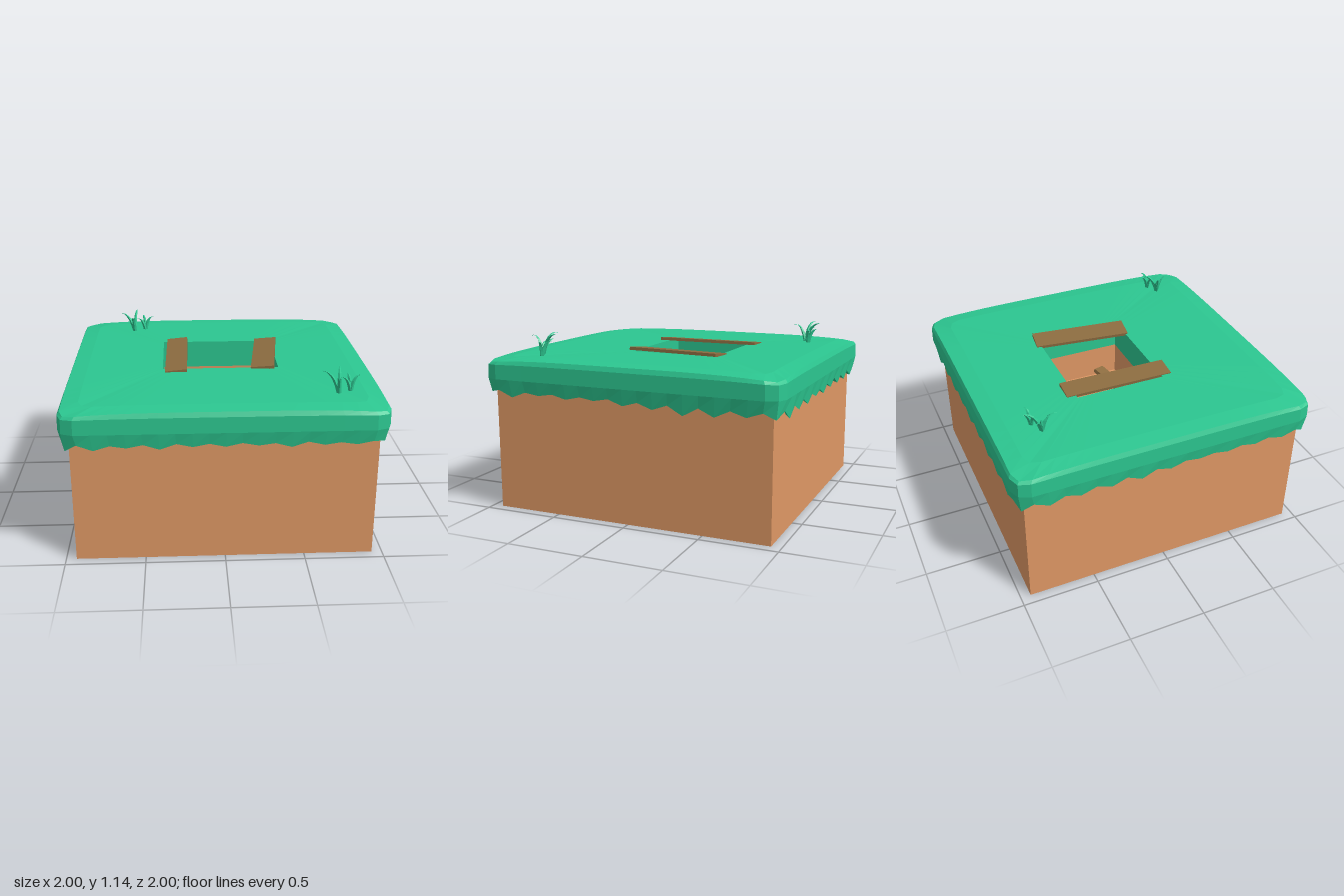
import * as THREE from 'three';

const mat = (color) => new THREE.MeshStandardMaterial({ color, flatShading: true });
const GRASS = mat(0x2cc690), DIRT = mat(0xdf9865), WOOD = mat(0x8c6c40);

function add(parent, name, geometry, material) {
  const mesh = new THREE.Mesh(geometry, material);
  mesh.name = name;
  parent.add(mesh);
  return mesh;
}

// Skin between closed rows of points; rows run anticlockwise seen from above
function loft(rows) {
  const n = rows[0].length, index = [];
  for (let r = 0; r < rows.length - 1; r++) {
    for (let k = 0; k < n; k++) {
      const a = r * n + k, b = r * n + (k + 1) % n;
      index.push(a, b, b + n, a, b + n, a + n);
    }
  }
  const g = new THREE.BufferGeometry();
  g.setAttribute('position', new THREE.Float32BufferAttribute(rows.flat(2), 3));
  g.setIndex(index);
  const flat = g.toNonIndexed();
  flat.computeVertexNormals();
  return flat;
}

// Points round a unit square: front, right, back, left
function squareLoop(steps) {
  const pts = [];
  for (let side = 0; side < 4; side++) {
    for (let i = 0; i < steps; i++) {
      const t = -1 + 2 * i / steps;
      pts.push([[t, 1], [1, -t], [-t, -1], [-1, t]][side]);
    }
  }
  return pts;
}

const square = (loop, s, y) => loop.map(([x, z]) => [x * s, y, z * s]);
const pit = (loop, y, s = 1) => loop.map(([x, z]) => [0.005 + x * 0.385 * s, y, -0.07 + z * 0.3 * s]);

// Earth block with a sunken pit
function dirtGeometry() {
  const loop = squareLoop(1);
  return loft([
    square(loop, 0, 0), square(loop, 0.935, 0), square(loop, 0.935, 0.82),
    pit(loop, 0.82), pit(loop, 0.6), pit(loop, 0.6, 0),
  ]);
}

// Turf cap with soft corners and a ragged lower edge
function turfGeometry() {
  const loop = squareLoop(20);
  let seed = 7;
  const rand = () => (seed = (seed * 16807) % 2147483647) / 2147483647;
  const hem = loop.map(([x, z], i) =>
    i % 2 ? 0.79 + rand() * 0.012 : (z < 0 ? 0.735 : 0.755) + rand() * 0.03);
  const rim = (s, yOf, corner) => loop.map(([x, z], i) => {
    const isCorner = Math.abs(x) > 0.99 && Math.abs(z) > 0.99;
    const k = s * (isCorner ? 0.972 : 1);
    const drop = corner * Math.pow(Math.abs(x * z), 4);
    return [x * k, yOf(i) - drop, z * k];
  });
  return loft([
    rim(0.955, (i) => hem[i] + 0.015, 0),
    rim(0.985, (i) => hem[i], 0),
    rim(1, () => 0.87, 0),
    rim(0.998, () => 0.97, 0.01),
    rim(0.985, () => 1.0, 0.025),
    rim(0.88, () => 1.01, 0.01),
    pit(loop, 1.01), pit(loop, 0.82),
  ]);
}

// Tapered cone bent along an arc from base to tip
function bladeGeometry(base, tip, bend) {
  const curve = new THREE.QuadraticBezierCurve3(
    new THREE.Vector3(...base),
    new THREE.Vector3(base[0] + (tip[0] - base[0]) * 0.3, tip[1] + bend, base[2] + (tip[2] - base[2]) * 0.3),
    new THREE.Vector3(...tip));
  const g = new THREE.ConeGeometry(0.014, 1, 4, 6);
  const p = g.attributes.position;
  for (let i = 0; i < p.count; i++) {
    const t = p.getY(i) + 0.5;
    const c = curve.getPoint(t);
    const fat = 1 + 0.8 * t;
    p.setXYZ(i, c.x + p.getX(i) * fat, c.y + p.getZ(i) * t * 0.5, c.z + p.getZ(i) * fat);
  }
  g.computeVertexNormals();
  return g;
}

function grassTuft() {
  const tuft = new THREE.Group();
  tuft.name = 'grassTuft';
  const a = [0, 1.0, 0], b = [0.08, 1.0, -0.04];
  const blades = [
    [a, [-0.13, 1.135, -0.04], 0.03], [a, [-0.02, 1.12, 0.1], 0.03],
    [a, [0.02, 1.14, -0.13], 0.02], [a, [-0.07, 1.1, -0.06], 0.02],
    [b, [0.01, 1.09, -0.03], 0.02], [b, [0.06, 1.1, -0.11], 0.02],
    [b, [0.15, 1.095, -0.06], 0.03],
  ];
  for (const blade of blades) add(tuft, 'grassBlade', bladeGeometry(...blade), GRASS);
  return tuft;
}

function plank(parent, name, size, position, rotation) {
  const m = add(parent, name, new THREE.BoxGeometry(...size), WOOD);
  m.position.set(...position);
  m.rotation.set(...rotation, 'YXZ');
}

export function createModel() {
  const model = new THREE.Group();
  model.name = 'grassBlockWithPit';
  add(model, 'dirtBlock', dirtGeometry(), DIRT);
  add(model, 'turfCap', turfGeometry(), GRASS);

  // Two planks lying along the pit edges
  plank(model, 'leftEdgePlank', [0.145, 0.02, 0.73], [-0.287, 1.012, -0.065], [0, -0.015, 0.1]);
  plank(model, 'rightEdgePlank', [0.155, 0.02, 0.655], [0.322, 1.015, -0.07], [0, -0.123, 0.1]);

  // Broken pieces inside the pit: size, position, rotation
  const pieces = [
    [[0.16, 0.025, 0.2], [-0.125, 0.7, -0.25], [1.05, 0.03, 0]],
    [[0.16, 0.025, 0.22], [0.05, 0.71, -0.26], [0.95, 0.25, 0.1]],
    [[0.13, 0.025, 0.08], [0.25, 0.68, -0.24], [0.8, 0, 0]],
    [[0.14, 0.025, 0.06], [-0.18, 0.66, 0.09], [0.3, -0.25, -0.25]],
    [[0.2, 0.025, 0.08], [0.05, 0.65, 0.125], [0.3, -0.15, -0.1]],
    [[0.16, 0.025, 0.09], [0.15, 0.74, 0.055], [0.2, 0.5, 0.3]],
  ];
  for (const piece of pieces) plank(model, 'brokenPlank', ...piece);

  // Grass tufts in opposite corners
  for (const [x, z] of [[0.71, 0.72], [-0.605, -0.69]]) {
    const tuft = grassTuft();
    tuft.position.set(x, 0, z);
    model.add(tuft);
  }
  return model;
}
